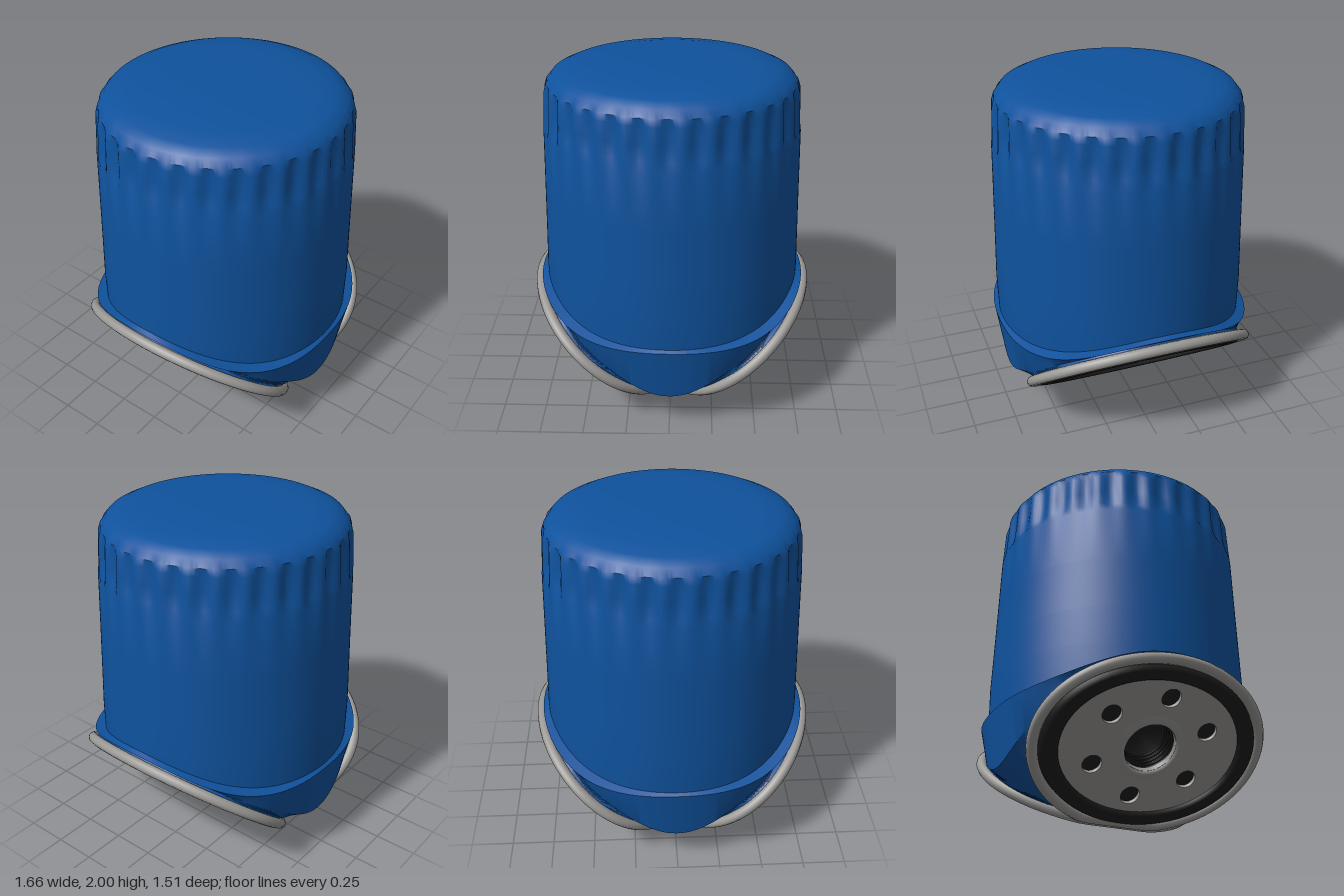
import * as THREE from 'three';
import { toCreasedNormals } from 'three/addons/utils/BufferGeometryUtils.js';

const TILT = 0.698;                       // slope of each end disc
const CENTRE = [0.395, 0.348];            // disc centre in x, y
const RIM_S = 0.526, RIM_Z = 0.66;        // rim semi-axes: along the slope, along z
const RIM_CUT = -0.5;                     // rim is flattened at the bottom of the V
const FLUTES = 30;

// Point on the rim in disc coordinates
const rimPoint = (a) => [Math.max(RIM_S * Math.cos(a), RIM_CUT), RIM_Z * Math.sin(a)];

// Profile of the can from the top down: radius, height, flute depth
const CAN = [
  [0, 2, 0], [0.3, 1.996, 0], [0.5, 1.985, 0], [0.61, 1.968, 0], [0.67, 1.94, 0],
  [0.705, 1.9, 0.006], [0.718, 1.86, 0.024], [0.724, 1.76, 0.026], [0.729, 1.67, 0.02],
  [0.732, 1.62, 0], [0.741, 1.3, 0], [0.75, 1, 0], [0.757, 0.78, 0],
];

// One point of the blue shell; rows after the can profile form the flared skirt
function shellPoint(row, t) {
  const c = Math.cos(t), s = Math.sin(t);
  if (row < CAN.length) {
    const [r, y, depth] = CAN[row];
    const k = r - depth * (0.5 - 0.5 * Math.cos(FLUTES * t));
    return [k * c, y, k * s * 0.978];
  }
  const ac = Math.abs(c), as = Math.abs(s), sx = Math.sign(c), sz = Math.sign(s);
  const skirtTop = 0.56 + 0.17 * ac ** 4;
  const step = row - CAN.length;
  if (step === 0) return [0.757 * c, skirtTop + 0.012, 0.737 * s];
  // squarish outline of the skirt
  const ex = 2 / 2.3, qx = sx * ac ** ex, qz = sz * as ** ex;
  if (step === 1) return [0.787 * qx, skirtTop, 0.757 * qz];
  const mid = [0.765 * qx, 0.035 + Math.hypot(0.84 * 0.765 * Math.abs(qx), 0.205), 0.715 * qz];
  if (step === 2) return mid;
  // lower edge follows the rim
  const q = Math.atan2(as, ac) / (Math.PI / 2);
  const [u, z] = rimPoint(q * Math.acos(RIM_CUT / RIM_S));
  const x = q > 0.999 ? 0 : CENTRE[0] + u * Math.cos(TILT);
  const end = [sx * x, CENTRE[1] + u * Math.sin(TILT), sz * z];
  if (step === 4) return end;
  return mid.map((v, i) => (v + end[i]) / 2 + (i === 2 ? sz * 0.05 * q ** 4 : 0));
}

function shellGeometry() {
  const rows = CAN.length + 5, seg = FLUTES * 8, pos = [], idx = [];
  for (let i = 0; i < rows; i++) {
    for (let j = 0; j < seg; j++) pos.push(...shellPoint(i, (j / seg) * Math.PI * 2));
  }
  for (let i = 0; i < rows - 1; i++) {
    for (let j = 0; j < seg; j++) {
      const k = (j + 1) % seg;
      const a = i * seg + j, b = a + seg, c = i * seg + k, d = c + seg;
      if (i > 0) idx.push(a, c, b);
      idx.push(c, d, b);
    }
  }
  const g = new THREE.BufferGeometry();
  g.setAttribute('position', new THREE.Float32BufferAttribute(pos, 3));
  g.setIndex(idx);
  return toCreasedNormals(g, 0.65);
}

const circle = (x, y, r, ry = r) => new THREE.Path().absellipse(x, y, r, ry, 0, Math.PI * 2, true);
const lathe = (pts) => new THREE.LatheGeometry(pts.map((p) => new THREE.Vector2(...p)), 64);

export function createModel() {
  const blue = new THREE.MeshStandardMaterial({ color: 0x0f529d, side: THREE.DoubleSide });
  blue.name = 'bluePaint';
  const steel = new THREE.MeshStandardMaterial({ color: 0x9b9a97, side: THREE.DoubleSide });
  steel.name = 'greySteel';
  const rubber = new THREE.MeshStandardMaterial({ color: 0x1d1d1d, side: THREE.DoubleSide });
  rubber.name = 'blackRubber';

  const model = new THREE.Group();
  model.name = 'canister';
  const add = (parent, name, geometry, material) => {
    const m = new THREE.Mesh(geometry, material);
    m.name = name;
    parent.add(m);
    return m;
  };

  add(model, 'canBody', shellGeometry(), blue);

  // Closed rolled rim
  const rimPts = Array.from({ length: 72 }, (_, i) => {
    const [u, z] = rimPoint((i / 72) * Math.PI * 2);
    return new THREE.Vector3(u, 0, z);
  });
  const rimGeo = new THREE.TubeGeometry(new THREE.CatmullRomCurve3(rimPts, true), 120, 0.031, 10, true);

  // Dark backing behind the plate, open at the bore
  const backShape = new THREE.Shape(rimPts.map((p) => new THREE.Vector2(p.x, p.z)));
  backShape.holes.push(circle(0, 0, 0.146));
  const backGeo = new THREE.ShapeGeometry(backShape, 32).rotateX(Math.PI / 2).translate(0, 0.012, 0);

  // Face plate with a bore and six ports
  const plateShape = new THREE.Shape().absellipse(0, 0, 0.42, 0.53, 0, Math.PI * 2, false);
  plateShape.holes.push(circle(0, 0, 0.146));
  for (let i = 0; i < 6; i++) {
    const a = (i / 6) * Math.PI * 2;
    plateShape.holes.push(circle(0.31 * Math.cos(a), 0.335 * Math.sin(a), 0.055));
  }
  const plateGeo = new THREE.ExtrudeGeometry(plateShape, { depth: 0.024, bevelEnabled: false, curveSegments: 32 })
    .rotateX(Math.PI / 2).translate(0, 0.01, 0);

  const gasketGeo = lathe([[0.52, 0.01], [0.525, -0.026], [0.545, -0.036], [0.6, -0.036], [0.622, -0.026], [0.632, 0.01]]);
  const collarGeo = lathe([[0.2, -0.013], [0.165, -0.024], [0.148, -0.02], [0.144, 0.012]]);
  const boreGeo = lathe([[0.145, 0.005], [0.138, 0.15], [0, 0.15]]);

  // Matching end discs on both slopes
  for (const [side, turn] of [['left', 0], ['right', Math.PI]]) {
    const half = new THREE.Group();
    half.rotation.y = turn;
    half.name = side + 'End';
    model.add(half);
    const disc = new THREE.Group();
    disc.name = side + 'Disc';
    disc.position.set(CENTRE[0], CENTRE[1], 0);
    disc.rotation.z = TILT;
    half.add(disc);

    add(disc, 'rim', rimGeo, steel);
    add(disc, 'backing', backGeo, rubber);
    add(disc, 'facePlate', plateGeo, steel);
    add(disc, 'gasket', gasketGeo, rubber).scale.x = 0.79;
    add(disc, 'boreCollar', collarGeo, steel);
    add(disc, 'bore', boreGeo, rubber);
    // Thread ridges inside the bore
    for (let i = 0; i < 4; i++) {
      const ridge = add(disc, 'threadRidge', new THREE.TorusGeometry(0.138, 0.008, 6, 40), rubber);
      ridge.rotation.x = Math.PI / 2;
      ridge.position.y = 0.03 + i * 0.03;
    }
  }
  return model;
}
